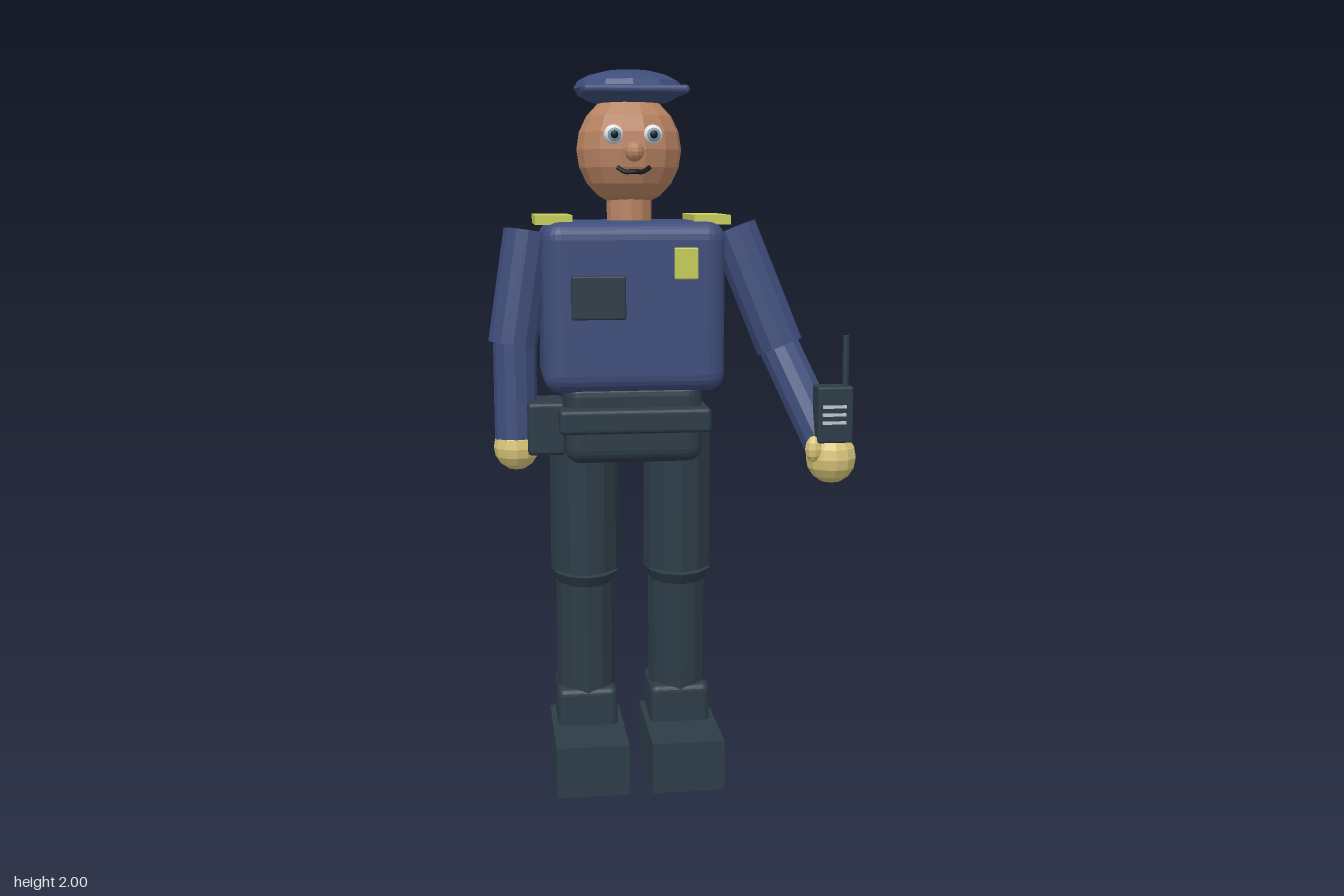
import * as THREE from 'three';
import { RoundedBoxGeometry } from 'three/addons/geometries/RoundedBoxGeometry.js';

const mat = (name, color, flatShading = false) => {
  const m = new THREE.MeshStandardMaterial({ color, flatShading });
  m.name = name;
  return m;
};

export function createModel() {
  const model = new THREE.Group();
  model.name = 'officer';

  const navy = mat('navy cloth', 0x3e4d7a, true);
  const dark = mat('dark cloth', 0x2d3c47, true);
  const skin = mat('skin', 0xb98463, true);
  const yellow = mat('yellow trim', 0xc6cd5a);
  const glove = mat('glove', 0xd8c57a, true);
  const white = mat('white', 0xf0f0f0);
  const iris = mat('iris', 0x7f9fb0);
  const black = mat('black', 0x14181c);
  const grey = mat('light grey', 0xc4c8cc);

  const V = (x, y, z) => new THREE.Vector3(x, y, z);
  const add = (name, geometry, material) => {
    const mesh = new THREE.Mesh(geometry, material);
    mesh.name = name;
    model.add(mesh);
    return mesh;
  };
  // Box given by its limits on each axis, optionally with rounded edges
  const box = (name, material, [x0, x1], [y0, y1], [z0, z1], r = 0) => {
    const s = [x1 - x0, y1 - y0, z1 - z0];
    const g = r ? new RoundedBoxGeometry(...s, 3, r) : new THREE.BoxGeometry(...s);
    const m = add(name, g, material);
    m.position.set((x0 + x1) / 2, (y0 + y1) / 2, (z0 + z1) / 2);
    return m;
  };
  const ball = (name, material, c, r, w = 12, h = 8) => {
    const m = add(name, new THREE.SphereGeometry(1, w, h), material);
    m.position.set(...c);
    m.scale.set(...r);
    return m;
  };
  // Straight limb between two points
  const limb = (name, material, a, b, rTop, rBottom = rTop, sides = 12) => {
    const m = add(name, new THREE.CylinderGeometry(rTop, rBottom, a.distanceTo(b), sides), material);
    m.position.copy(a).add(b).multiplyScalar(0.5);
    m.quaternion.setFromUnitVectors(V(0, 1, 0), a.clone().sub(b).normalize());
    return m;
  };

  const cx = -0.105; // body centre line

  // Torso, hips and belt
  box('torso', navy, [-0.355, 0.148], [1.12, 1.59], [-0.214, 0.093], 0.05);
  box('hips', dark, [-0.295, 0.087], [0.92, 1.15], [-0.19, 0.07], 0.04);
  box('belt', dark, [-0.315, 0.105], [1.012, 1.08], [-0.198, 0.113], 0.012);
  box('holster', dark, [-0.4, -0.295], [0.945, 1.093], [-0.12, 0.045], 0.012);
  box('chestPocket', dark, [-0.28, -0.133], [1.328, 1.446], [0.1, 0.127], 0.005);
  box('chestBadge', yellow, [0.0, 0.064], [1.435, 1.52], [0.1, 0.122], 0.004);
  for (const [x0, x1] of [[0.062, 0.163], [-0.372, -0.271]]) {
    box('epaulette', yellow, [x0, x1], [1.58, 1.606], [-0.183, 0.055]);
  }

  // Head and face
  limb('neck', skin, V(cx, 1.68, -0.06), V(cx, 1.57, -0.06), 0.063);
  ball('head', skin, [cx, 1.782, -0.06], [0.146, 0.155, 0.132], 14, 10);
  ball('nose', skin, [cx, 1.775, 0.082], [0.026, 0.027, 0.026], 10, 8);
  for (const s of [-1, 1]) {
    const x = cx + s * 0.053;
    ball('eye', white, [x, 1.82, 0.054], [0.027, 0.027, 0.027], 16, 12);
    ball('iris', iris, [x, 1.82, 0.077], [0.018, 0.018, 0.005], 14, 8);
    ball('pupil', black, [x, 1.82, 0.08], [0.011, 0.011, 0.005], 12, 8);
  }
  const smile = new THREE.CatmullRomCurve3([
    V(cx - 0.044, 1.734, 0.06), V(cx - 0.024, 1.722, 0.068), V(cx, 1.723, 0.073),
    V(cx + 0.024, 1.722, 0.068), V(cx + 0.044, 1.734, 0.06)]);
  add('mouth', new THREE.TubeGeometry(smile, 16, 0.007, 6), black);

  // Cap
  ball('capCrown', navy, [cx, 1.948, -0.068], [0.152, 0.052, 0.134], 12, 8);
  box('capVisor', navy, [-0.245, 0.035], [1.924, 1.946], [0.01, 0.158], 0.01);

  // Right arm, hanging down
  const elbowR = V(-0.436, 1.247, -0.05);
  limb('rightUpperArm', navy, V(-0.387, 1.56, -0.075), elbowR, 0.068);
  limb('rightForearm', navy, V(-0.43, 1.27, -0.05), V(-0.43, 0.98, -0.035), 0.06);
  ball('rightHand', glove, [-0.43, 0.96, -0.033], [0.064, 0.066, 0.064]);

  // Left arm, reaching forward
  const elbowL = V(0.318, 1.235, -0.015);
  limb('leftUpperArm', navy, V(0.19, 1.565, -0.065), elbowL, 0.068);
  limb('leftForearm', navy, V(0.308, 1.255, -0.025), V(0.418, 0.98, 0.125), 0.059);
  ball('leftHand', glove, [0.433, 0.943, 0.147], [0.071, 0.073, 0.068]);
  ball('leftThumb', glove, [0.376, 0.972, 0.18], [0.024, 0.037, 0.024], 8, 6);

  // Hand radio
  box('radioBody', dark, [0.382, 0.481], [0.99, 1.145], [0.13, 0.2], 0.006);
  limb('radioAntenna', dark, V(0.465, 1.283, 0.167), V(0.465, 1.13, 0.167), 0.009, 0.009, 8);
  for (let i = 0; i < 3; i++) {
    const y = 1.043 + i * 0.022;
    box('radioGrille', grey, [0.395, 0.46], [y, y + 0.008], [0.198, 0.207]);
  }

  // Legs and shoes
  for (const x of [-0.238, 0.03]) {
    limb('thigh', dark, V(x, 1.03, -0.058), V(x, 0.6, -0.058), 0.098);
    limb('knee', dark, V(x, 0.6, -0.058), V(x, 0.567, -0.062), 0.098, 0.084);
    limb('shin', dark, V(x, 0.6, -0.065), V(x, 0.2, -0.065), 0.084);
    box('ankle', dark, [x - 0.086, x + 0.086], [0.092, 0.253], [-0.173, 0.02], 0.02);
    box('shoe', dark, [x - 0.102, x + 0.102], [0, 0.145], [-0.16, 0.19]);
  }
  return model;
}
